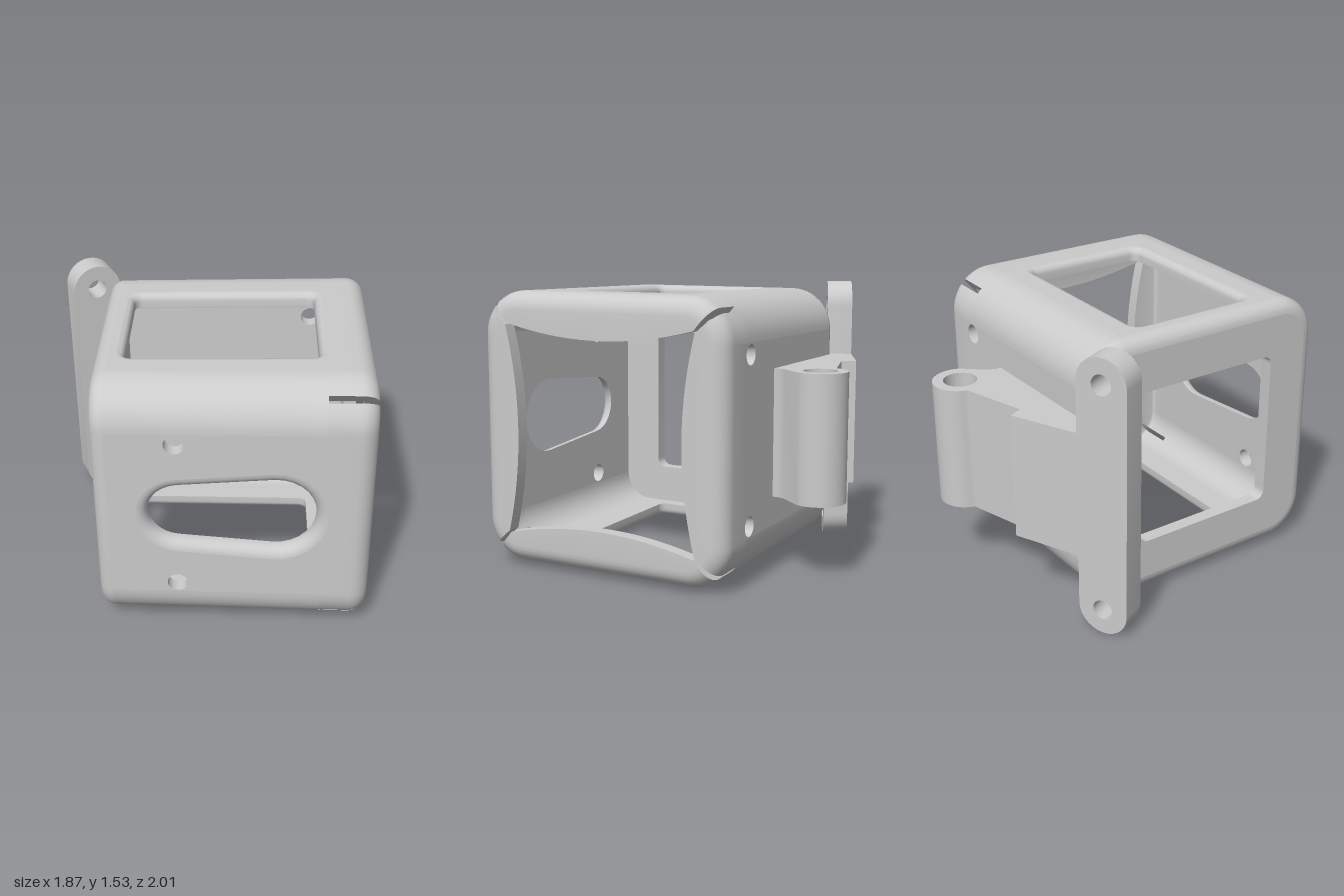
import * as THREE from 'three';
import { toCreasedNormals } from 'three/addons/utils/BufferGeometryUtils.js';

const { PI, cos, sin } = Math;
const H = 0.735, R = 0.235, F = H - R, T = 0.075;   // half height, corner radius, flat half, wall
const BACK = -0.695, FRONT = 0.75, PANEL_END = 0.55, SLIT = 0.49, LIP = 0.1;
const U0 = BACK + T;
const solid = new THREE.MeshStandardMaterial({ color: 0xcccccc });
const sheet = new THREE.MeshStandardMaterial({ color: 0xcccccc, side: THREE.DoubleSide });

// the case widens slightly towards its open end
function taper(geo) {
  const p = geo.attributes.position;
  for (let i = 0; i < p.count; i++) {
    const k = 1 + 0.0188 * p.getX(i);
    p.setXYZ(i, p.getX(i), p.getY(i) * k, p.getZ(i) * k);
  }
  return geo;
}

function addMesh(parent, name, geo, mat = solid) {
  const mesh = new THREE.Mesh(toCreasedNormals(geo, 0.6), mat);
  mesh.name = name;
  parent.add(mesh);
}

// skin a list of equal-length loops
function loft(loops, closeLoop, closeEnds = false, caps = false) {
  const n = loops[0].length, m = loops.length, pos = loops.flat(2), idx = [];
  for (let i = 0; i < (closeEnds ? m : m - 1); i++) {
    for (let k = 0; k < (closeLoop ? n : n - 1); k++) {
      const a = i * n + k, b = i * n + (k + 1) % n;
      const c = ((i + 1) % m) * n + k, d = ((i + 1) % m) * n + (k + 1) % n;
      idx.push(a, c, b, b, c, d);
    }
  }
  // end caps pair the outer half of each loop with its inner half
  if (caps) for (const [o, flip] of [[0, false], [(m - 1) * n, true]]) {
    for (let k = 0; k < n / 2 - 1; k++) {
      const a = o + k, b = o + k + 1, c = o + n - 1 - k, d = o + n - 2 - k;
      if (flip) idx.push(a, c, b, b, c, d); else idx.push(a, b, c, b, d, c);
    }
  }
  const g = new THREE.BufferGeometry();
  g.setAttribute('position', new THREE.Float32BufferAttribute(pos, 3));
  g.setIndex(idx);
  return g;
}

// outline made of arcs [x, y, r, from, to], grown by an offset
function outline(arcs, off = 0, n = 14) {
  const pts = [];
  for (const [x, y, r, a0, a1] of arcs) {
    for (let i = 0; i <= n; i++) {
      const a = a0 + (a1 - a0) * i / n;
      pts.push(new THREE.Vector2(x + (r + off) * cos(a), y + (r + off) * sin(a)));
    }
  }
  return pts;
}
const rect = (x0, x1, y0, y1, r) => [
  [x1 - r, y1 - r, r, 0, PI / 2], [x0 + r, y1 - r, r, PI / 2, PI],
  [x0 + r, y0 + r, r, PI, 1.5 * PI], [x1 - r, y0 + r, r, 1.5 * PI, 2 * PI]];
const circle = (x, y, r) => [[x, y, r, 0, 2 * PI * 27 / 28]];

function extrude(points, holes, depth) {
  const shape = new THREE.Shape(points);
  shape.holes = holes.map(h => new THREE.Path(h));
  return new THREE.ExtrudeGeometry(shape, { depth, bevelEnabled: false, curveSegments: 20 });
}

// flat wall with an optional round-edged opening and plain screw holes
function wall(parent, name, turn, opening, round, screws) {
  const holes = screws.map(s => outline(s, 0, 27));
  if (opening) holes.push(outline(opening, round));
  const base = [[U0, -F], [PANEL_END, -F], [PANEL_END, F], [U0, F]].map(p => new THREE.Vector2(...p));
  const place = g => taper(g.rotateX(turn));
  addMesh(parent, name, place(extrude(base, holes, T).translate(0, 0, H - T)));
  if (!opening) return;
  const loops = [];
  const ring = (off, z) => loops.push(outline(opening, off).map(p => [p.x, p.y, z]));
  for (let i = 0; i <= 6; i++) {
    const a = i / 6 * PI / 2;
    ring(round * (1 - sin(a)), H - round * (1 - cos(a)));
  }
  ring(0, H - T);
  ring(round, H - T);
  addMesh(parent, name + 'OpeningRim', place(loft(loops, true)), sheet);
}

// one side of the open end: wall edge curling into an arched lip, from slit to slit
function lipSide() {
  const entries = [], gap = 0.075, N = 8;
  for (let i = 0; i <= N; i++) entries.push({ s: -F, a: 0.75 * PI - gap - (PI / 4 - gap) * i / N, u: SLIT });
  for (let i = 0; i <= 20; i++) entries.push({ s: -F + 2 * F * i / 20, a: PI / 2, u: PANEL_END });
  for (let i = 0; i <= N; i++) entries.push({ s: F, a: PI / 2 - (PI / 4 - gap) * i / N, u: SLIT });
  const loops = entries.map(({ s, a, u }) => {
    const at = (inset, x) => [x, s + (R - inset) * cos(a), F + (R - inset) * sin(a)];
    const edge = (s + (R - LIP) * cos(a)) * 0.95;
    const arch = x => [x, edge, 0.495 + 0.075 * (edge / 0.57) ** 2];
    const outer = [at(0, u)], inner = [at(T, u)];
    for (let k = 0; k <= 7; k++) {
      const b = k / 7 * PI / 2, r = LIP - T;
      outer.push(at(LIP * (1 - cos(b)), FRONT - LIP + LIP * sin(b)));
      inner.push(at(T + r * (1 - cos(b)), FRONT - LIP + r * sin(b)));
    }
    return [...outer, arch(FRONT), arch(FRONT - T), ...inner.reverse()];
  });
  return loft(loops, true, false, true);
}

// rounded edge running along the case
function cornerBar() {
  const loops = [];
  for (let i = 0; i <= 12; i++) {
    const a = PI / 2 * (1 - i / 12);
    const at = (r, u) => [u, F + r * cos(a), F + r * sin(a)];
    loops.push([at(R, U0), at(R, SLIT), at(R - T, SLIT), at(R - T, U0)]);
  }
  return loft(loops, true);
}

function buildCase() {
  const g = new THREE.Group();
  g.name = 'case';
  const t = Math.acos(-0.08);
  const window = [[0.247, 0, 0.21, -t, t], [-0.25, 0, 0.17, t, 2 * PI - t]];
  const hatch = rect(-0.54, 0.46, -0.355, 0.355, 0.045);
  const screws = u => [-0.44, 0.44].map(y => circle(u, y, 0.054));
  wall(g, 'frontWall', 0, window, 0.06, screws(-0.27));
  wall(g, 'backWall', PI, null, 0, screws(0.46));
  wall(g, 'topWall', -PI / 2, hatch, 0.04, []);
  wall(g, 'bottomWall', PI / 2, hatch, 0.04, []);
  for (let i = 0; i < 4; i++) {
    addMesh(g, 'roundedEdge', taper(cornerBar().rotateX(i * PI / 2)), sheet);
    addMesh(g, 'lip', taper(lipSide().rotateX(i * PI / 2)), sheet);
  }
  // closed end with its window and rounded border
  const E = H - T, body = rect(-H, H, -H, H, R);
  const end = extrude(outline(rect(-E, E, -E, E, R - T)), [outline(rect(-0.43, 0.43, -0.44, 0.44, 0.05))], T);
  addMesh(g, 'endWall', taper(end.translate(0, 0, -U0).rotateY(-PI / 2)));
  const loops = [];
  for (let i = 0; i <= 6; i++) {
    const a = i / 6 * PI / 2;
    loops.push(outline(body, -T * (1 - cos(a))).map(p => [U0 - T * sin(a), p.y, p.x]));
  }
  addMesh(g, 'endBorder', taper(loft(loops, true)), sheet);
  g.position.set(0.06 * -0.423, 0.765, 0.06 * 0.906);
  g.rotation.y = -25 * PI / 180;
  return g;
}

function buildBracket() {
  const g = new THREE.Group();
  g.name = 'bracket';
  // upright strap with a bolt hole at each end
  const X = -0.47, r = 0.14;
  const strap = outline([[X, 1.53 - r, r, 0, PI], [X, r, r, PI, 2 * PI]]);
  const bolts = [r, 1.53 - r].map(y => outline(circle(X, y, 0.055), 0, 27));
  addMesh(g, 'strap', extrude(strap, bolts, 0.14).translate(0, 0, -1));
  // stepped arm ending in a hinge barrel
  const v = (x, y) => new THREE.Vector2(x, y);
  const arm = [v(-0.34, 1), v(0.05, 1), v(0.05, 0.92), v(0.41, 0.87),
    ...outline([[0.53, 0.78, 0.147, 2.45, -0.9]], 0, 24),
    v(0.48, 0.6), v(0.45, 0.57), v(0.43, 0.52), v(-0.28, 0.83), v(-0.34, 0.86)];
  const geo = extrude(arm, [outline(circle(0.53, 0.78, 0.09), 0, 27)], 0.69);
  addMesh(g, 'hingeArm', geo.rotateX(-PI / 2).translate(0, 0.42, 0));
  return g;
}

export function createModel() {
  const model = new THREE.Group();
  model.name = 'cameraHousing';
  model.add(buildCase(), buildBracket());
  return model;
}
